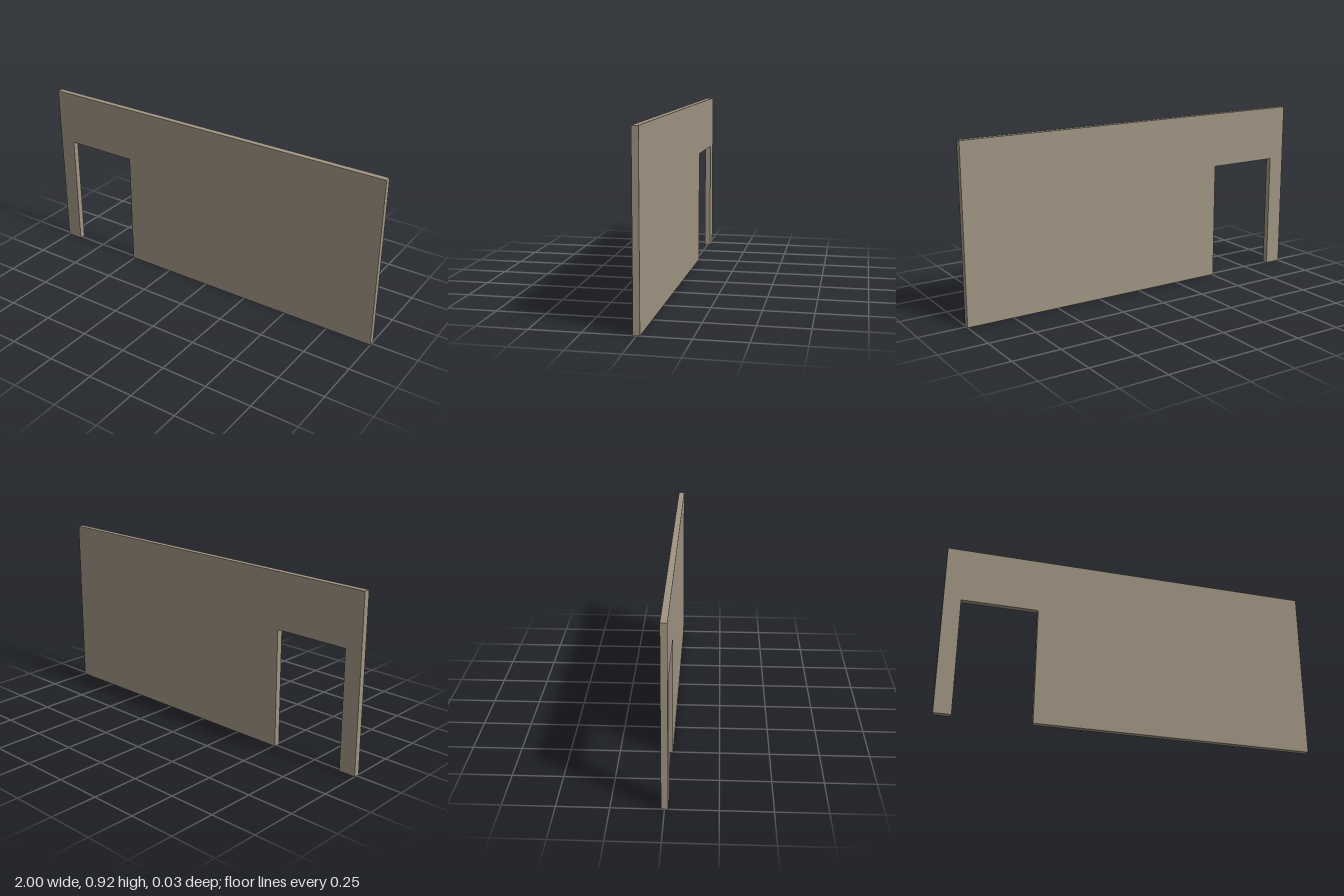
import * as THREE from 'three';

const HALF = 1, HEIGHT = 0.924, DEPTH = 0.032;
const DOOR = { left: -0.91, right: -0.507, top: 0.63 };

export function createModel() {
  const group = new THREE.Group();
  group.name = 'wallWithDoorway';

  // Wall outline, stepping around the doorway that is open at the floor
  const outline = new THREE.Shape([
    [-HALF, 0], [DOOR.left, 0], [DOOR.left, DOOR.top], [DOOR.right, DOOR.top],
    [DOOR.right, 0], [HALF, 0], [HALF, HEIGHT], [-HALF, HEIGHT],
  ].map(([x, y]) => new THREE.Vector2(x, y)));

  const geometry = new THREE.ExtrudeGeometry(outline, { depth: DEPTH, bevelEnabled: false });
  geometry.translate(0, 0, -DEPTH / 2);

  const wall = new THREE.Mesh(geometry, new THREE.MeshStandardMaterial({ color: 0xa09483 }));
  wall.name = 'wall';
  group.add(wall);
  return group;
}
